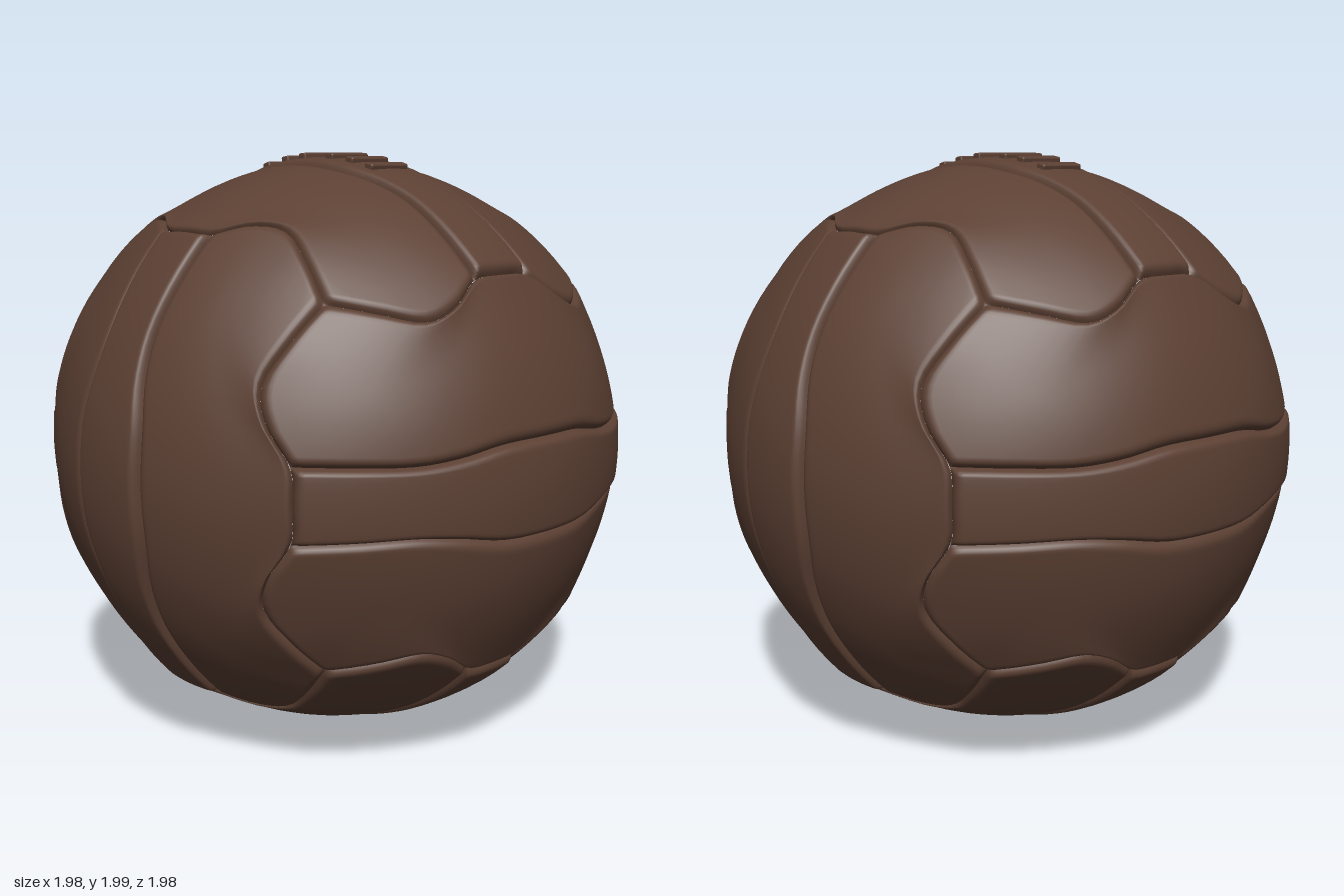
import * as THREE from 'three';
import { RoundedBoxGeometry } from 'three/addons/geometries/RoundedBoxGeometry.js';

// Half of the wavy seam between two faces, from its middle to the ball corner
const seam = new THREE.CatmullRomCurve3([
  [0.75, 0, 0.63], [0.75, 0.114, 0.622], [0.777, 0.228, 0.55],
  [0.775, 0.342, 0.52], [0.695, 0.456, 0.545], [0.57, 0.57, 0.57],
].map((p) => new THREE.Vector3(...p)), false, 'catmullrom', 0.5);

function seamPoint(t) {
  const p = seam.getPoint(Math.abs(t)).normalize();
  if (t < 0) p.y = -p.y;
  return p;
}

// Direction of a point on the front face, blended from its four wavy borders
function faceDirection(u, v) {
  const side = seamPoint(v), end = seamPoint(u), c = 1 / Math.sqrt(3);
  return new THREE.Vector3(
    u * side.x + end.y - c * u,
    side.y + v * end.z - c * v,
    side.z + end.x - c,
  ).normalize();
}

// Steps from 0 to 1 that crowd towards both stitched borders
function crowdedSteps(length, inner) {
  const near = [0, 0.005, 0.011, 0.018, 0.026, 0.036].map((d) => d / length);
  const steps = [...near], last = near[near.length - 1];
  for (let i = 1; i < inner; i++) steps.push(last + (1 - 2 * last) * i / inner);
  return steps.concat(near.map((d) => 1 - d).reverse());
}

// Rounded shoulder rising from the groove
function shoulder(d) {
  return 1 - Math.pow(1 - Math.min(d / 0.036, 1), 3);
}

// One puffed leather strip covering v0..v1 of a face
function stripGeometry(v0, v1, width, lift) {
  const length = 1.7, groove = 0.028;
  const us = crowdedSteps(length, 32), vs = crowdedSteps(width, 12);
  const positions = [], index = [];
  for (const b of vs) {
    for (const a of us) {
      const u = 2 * a - 1, v = v0 + (v1 - v0) * b;
      const base = 0.984 + 0.022 * Math.pow(Math.max(u * u, v * v), 2);
      const rise = shoulder(Math.min(a, 1 - a) * length) * shoulder(Math.min(b, 1 - b) * width);
      const p = faceDirection(u, v).multiplyScalar(base - groove + (groove + lift) * rise);
      positions.push(p.x, p.y, p.z);
    }
  }
  const n = us.length;
  for (let j = 0; j < vs.length - 1; j++) {
    for (let i = 0; i < n - 1; i++) {
      const k = j * n + i;
      index.push(k, k + 1, k + n + 1, k, k + n + 1, k + n);
    }
  }
  const g = new THREE.BufferGeometry();
  g.setAttribute('position', new THREE.Float32BufferAttribute(positions, 3));
  g.setIndex(index);
  g.computeVertexNormals();
  return g;
}

export function createModel() {
  const model = new THREE.Group();
  model.name = 'leatherBall';
  const leather = new THREE.MeshStandardMaterial({ color: 0x5c4033 });
  leather.name = 'brown leather';

  const ball = new THREE.Group();
  ball.name = 'ball';
  ball.position.y = 1;
  model.add(ball);

  // Three strips per face, shared by all six faces
  const cut = 0.205;
  const strips = [
    ['lowerStrip', stripGeometry(-1, -cut, 0.52, -0.006)],
    ['middleStrip', stripGeometry(-cut, cut, 0.33, 0.004)],
    ['upperStrip', stripGeometry(cut, 1, 0.52, -0.006)],
  ];

  // Each next pair of faces turns the strips onto the next axis
  const X = new THREE.Vector3(1, 0, 0), Y = new THREE.Vector3(0, 1, 0), Z = new THREE.Vector3(0, 0, 1);
  const faces = [
    ['front', 'back', [X, Y, Z]],
    ['left', 'right', [Y, Z, X]],
    ['top', 'bottom', [Z, X, Y]],
  ];
  for (const [near, far, axes] of faces) {
    [near, far].forEach((name, k) => {
      const face = new THREE.Group();
      face.name = name + 'Panels';
      const turn = new THREE.Matrix4().makeBasis(...axes);
      if (k) turn.multiply(new THREE.Matrix4().makeRotationY(Math.PI));
      face.quaternion.setFromRotationMatrix(turn);
      for (const [part, geometry] of strips) {
        const mesh = new THREE.Mesh(geometry, leather);
        mesh.name = part;
        face.add(mesh);
      }
      ball.add(face);
    });
  }

  // Lacing across the top middle strip
  const laces = new THREE.Group();
  laces.name = 'laces';
  const laceGeometry = new RoundedBoxGeometry(0.17, 0.03, 0.036, 2, 0.007);
  for (const z of [-0.26, -0.16, -0.07, 0.067, 0.165, 0.257]) {
    const angle = Math.asin(z / 0.987);
    const lace = new THREE.Mesh(laceGeometry, leather);
    lace.name = 'lace';
    lace.position.set(-0.007, 0.987 * Math.cos(angle), z);
    lace.rotation.x = angle;
    laces.add(lace);
  }
  ball.add(laces);
  return model;
}
